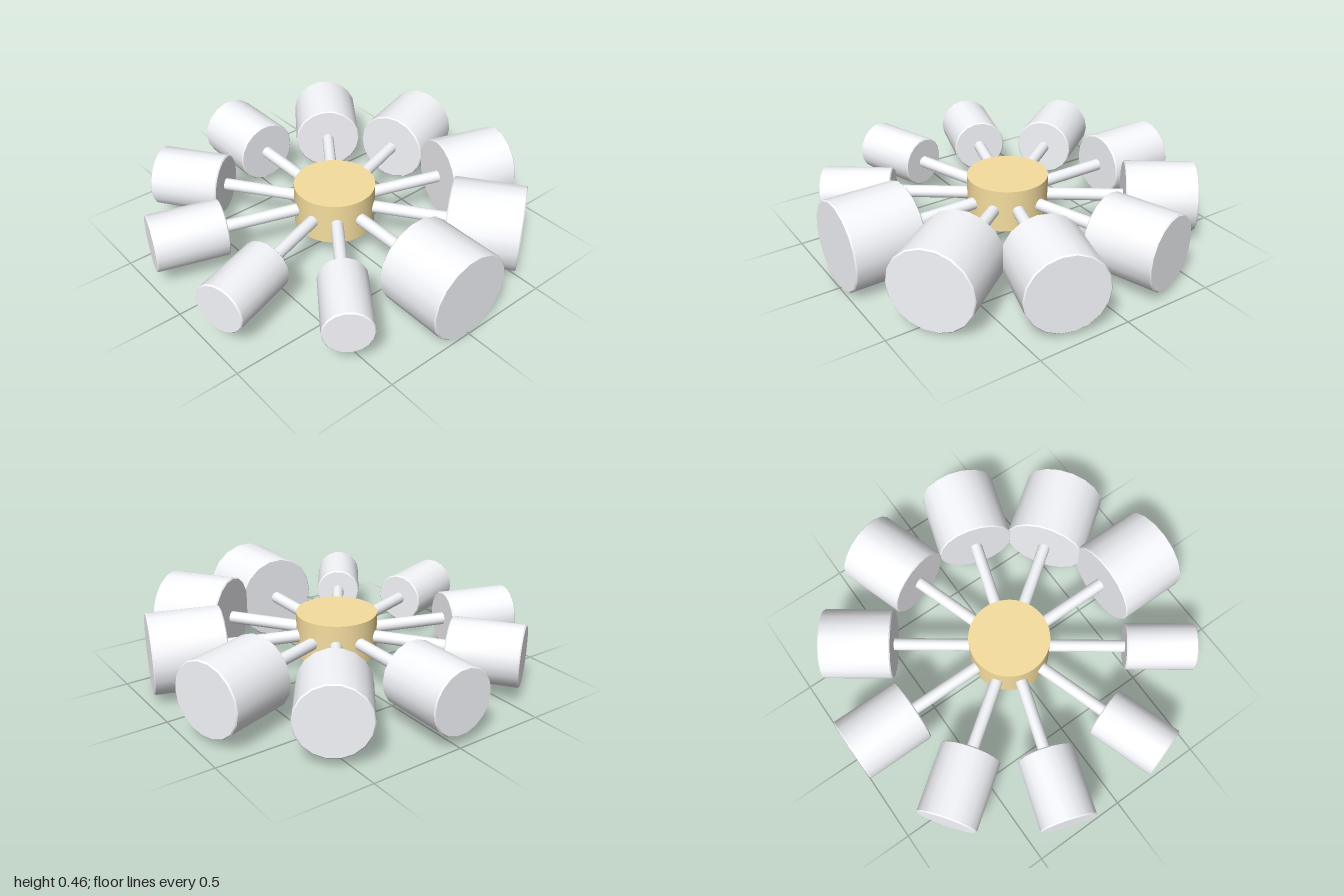
import * as THREE from 'three';
import { toCreasedNormals } from 'three/addons/utils/BufferGeometryUtils.js';

const COUNT = 10;
const MID_Y = 0.235;
const INNER = 0.618, OUTER = 0.994;
const BEVEL = 0.006;

// Closed cylinder along +x with finely bevelled rims
function podGeometry(radius) {
  const profile = [
    [0, INNER], [radius - BEVEL, INNER], [radius, INNER + BEVEL],
    [radius, OUTER - BEVEL], [radius - BEVEL, OUTER], [0, OUTER],
  ].map(([r, y]) => new THREE.Vector2(r, y));
  const geometry = new THREE.LatheGeometry(profile, 18).rotateZ(-Math.PI / 2);
  return toCreasedNormals(geometry, Math.PI / 6);
}

export function createModel() {
  const model = new THREE.Group();
  const white = new THREE.MeshStandardMaterial({ color: 0xf6f7fb });
  const tan = new THREE.MeshStandardMaterial({ color: 0xf6de9f });

  const wheel = new THREE.Group();
  wheel.name = 'wheel';
  wheel.position.set(0, MID_Y, 0.009);
  model.add(wheel);

  const addPart = (parent, name, geometry, material) => {
    const mesh = new THREE.Mesh(geometry, material);
    mesh.name = name;
    parent.add(mesh);
  };

  // Central drum
  addPart(wheel, 'hub', new THREE.CylinderGeometry(0.216, 0.216, 0.233, 48), tan);

  // Spoke reaching from inside the hub to the pods
  const spoke = new THREE.CylinderGeometry(0.033, 0.033, 0.478, 16);
  spoke.rotateZ(-Math.PI / 2).translate(0.389, 0, 0);

  // Arms, each ending in a pod a little slimmer than the one before
  for (let i = 0; i < COUNT; i++) {
    const arm = new THREE.Group();
    arm.name = `arm${i + 1}`;
    arm.rotation.y = (i / COUNT) * Math.PI * 2;
    addPart(arm, 'spoke', spoke, white);
    addPart(arm, 'pod', podGeometry(0.235 - 0.0122 * i), white);
    wheel.add(arm);
  }

  return model;
}
